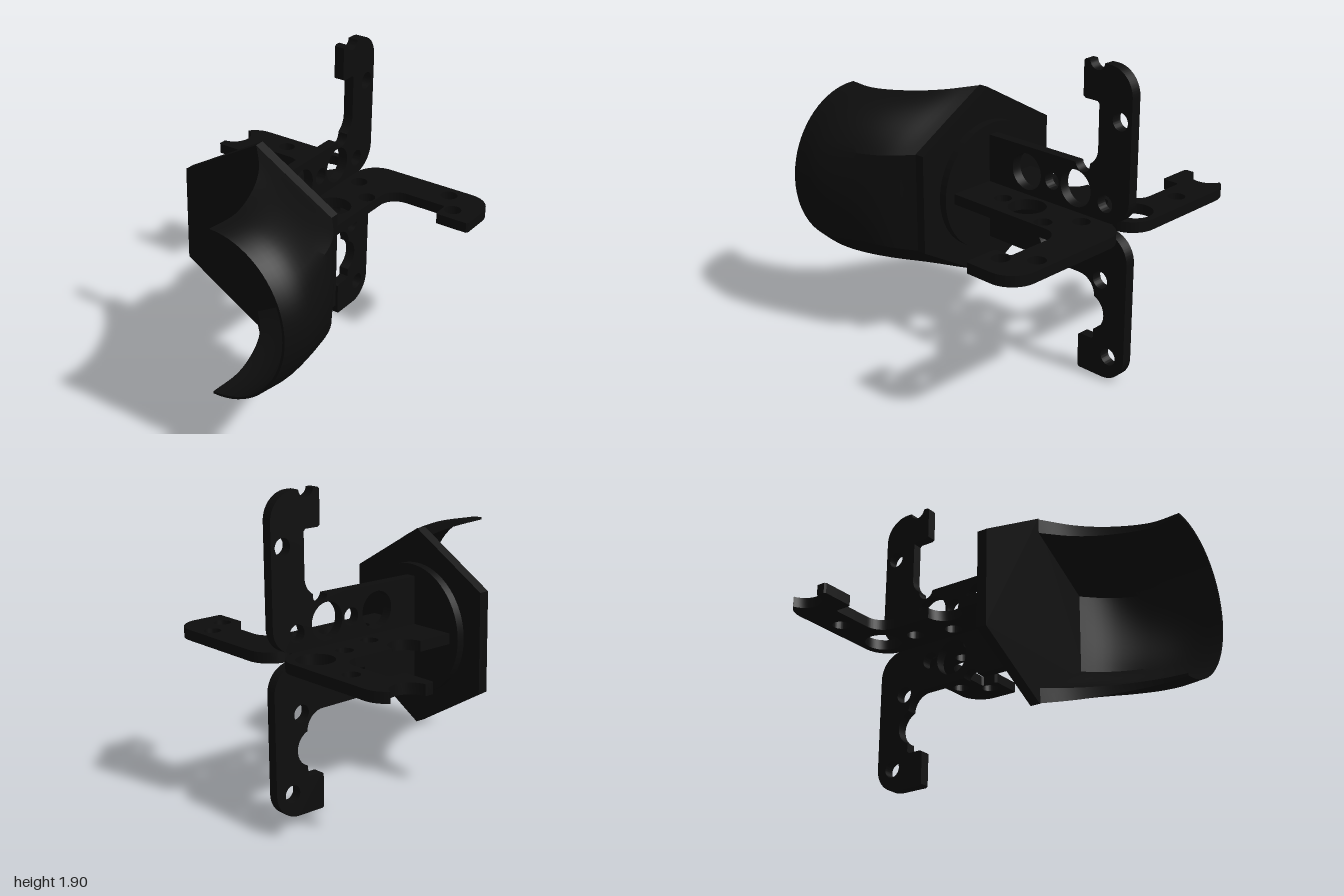
import * as THREE from 'three';
import { toCreasedNormals } from 'three/addons/utils/BufferGeometryUtils.js';

const AXIS_Y = 0.96;
const BIG = 0.113, SMALL = 0.053;
const material = new THREE.MeshStandardMaterial({ color: 0x0d0d0d });

function mesh(geometry, name) {
  const m = new THREE.Mesh(geometry, material);
  m.name = name;
  return m;
}

// Hooked fin outline: x = distance from the axis, y = distance towards the back
function finOutline() {
  const p = new THREE.Path();
  p.moveTo(0, -0.08).lineTo(0.33, -0.08).lineTo(0.335, 0.655);
  p.absarc(0.45, 0.655, 0.115, Math.PI, Math.PI / 2, true);
  p.lineTo(0.715, 0.77).lineTo(0.727, 0.758).lineTo(0.727, 0.67).lineTo(0.737, 0.655);
  p.lineTo(0.94, 0.655).lineTo(0.95, 0.665).lineTo(0.95, 0.84);
  p.absarc(0.79, 0.84, 0.16, 0, Math.PI / 2, false);
  p.lineTo(0.19, 1);
  p.absarc(0.19, 0.84, 0.16, Math.PI / 2, Math.PI, false);
  p.lineTo(0, 0.84).lineTo(0, -0.08);
  return p.curves.flatMap(c => c.getSpacedPoints(40).slice(0, -1));
}

// Replace the stretch of a counter-clockwise outline inside a circle by an inward arc
function bite(points, [x, y, r]) {
  const centre = new THREE.Vector2(x, y);
  const inside = p => p.distanceTo(centre) < r;
  const first = points.findIndex(inside);
  let last = first;
  while (inside(points[last + 1])) last++;
  const angle = p => Math.atan2(p.y - y, p.x - x);
  const a0 = angle(points[first]);
  let a1 = angle(points[last]);
  if (a1 > a0) a1 -= 2 * Math.PI;
  const arc = [];
  for (let i = 0; i <= 20; i++) {
    const a = a0 + (a1 - a0) * i / 20;
    arc.push(new THREE.Vector2(x + r * Math.cos(a), y + r * Math.sin(a)));
  }
  return [...points.slice(0, first), ...arc, ...points.slice(last + 1)];
}

function finGeometry(holes, notches) {
  const shape = new THREE.Shape(notches.reduce(bite, finOutline()));
  for (const [x, y, r] of holes) {
    shape.holes.push(new THREE.Path().absarc(x, y, r, 0, Math.PI * 2, true));
  }
  const g = new THREE.ExtrudeGeometry(shape, { depth: 0.065, bevelEnabled: false, curveSegments: 32 });
  g.translate(0, 0, -0.0325).rotateX(-Math.PI / 2);
  return toCreasedNormals(g, 0.5);
}

// Each fin: holes and edge notches as [distance from axis, distance back, radius]
const FINS = [
  { name: 'leftFin', turn: 0,
    holes: [[0.675, 0.91, SMALL], [0.79, 0.755, SMALL], [0.12, 0.735, SMALL],
      [0.275, 0.585, SMALL], [0.17, 0.365, BIG], [0.175, 0.175, SMALL]],
    notches: [] },
  { name: 'topFin', turn: 1,
    holes: [[0.175, 0.23, BIG], [0.17, 0.43, SMALL], [0.175, 0.61, BIG],
      [0.14, 0.83, SMALL], [0.645, 0.92, SMALL]],
    notches: [[0.34, 0.66, SMALL], [0.955, 0.75, SMALL]] },
  { name: 'rightFin', turn: 2,
    holes: [[0.555, 0.885, SMALL], [0.21, 0.845, BIG], [0.18, 0.61, SMALL], [0.115, 0.365, SMALL]],
    notches: [[0.335, 0.275, BIG], [0.955, 0.83, BIG]] },
  { name: 'bottomFin', turn: 3,
    holes: [[0.17, 0.44, BIG], [0.15, 0.61, SMALL], [0.335, 0.81, SMALL], [0.805, 0.885, SMALL]],
    notches: [[0.34, 0.29, SMALL], [0.555, 0.73, BIG]] },
];

// Curved scoop: half a hexagon lofted into a half ellipse, thinning to a sharp rim
function scoopGeometry() {
  const N = 36, RINGS = 20, L = 2 * (N + 1);
  const sweep = new THREE.CatmullRomCurve3([
    [0, 0.607, 0.185], [0.15, 0.575, 0.36], [0.25, 0.55, 0.55], [0.32, 0.53, 0.8], [0.305, 0.525, 1],
  ].map(v => new THREE.Vector3(...v))); // x shift, half height, z
  const positions = [], index = [];
  for (let i = 0; i <= RINGS; i++) {
    const t = i / RINGS;
    const s = sweep.getPoint(t);
    const blend = THREE.MathUtils.smoothstep(t, 0, 0.8);
    const width = 0.53 - 0.042 * t;
    const wall = 0.08 * (1 - t) + 0.015;
    for (let k = 0; k < L; k++) {
      const j = k <= N ? k : L - 1 - k;
      const inset = k <= N ? 0 : wall;
      const a = Math.PI / 2 - Math.PI * j / N;
      // polar radius of a hexagon with corners at the top and bottom
      const local = ((a + 2 * Math.PI + Math.PI / 6) % (Math.PI / 3)) - Math.PI / 6;
      const hex = Math.cos(Math.PI / 6) / Math.cos(local);
      const hx = hex * Math.cos(a) * (width - inset * 0.87) / Math.cos(Math.PI / 6);
      const hy = hex * Math.sin(a) * (s.y - inset);
      const ex = Math.cos(a) * (width - inset);
      const ey = Math.sin(a) * (s.y - inset);
      positions.push(s.x + hx + (ex - hx) * blend, AXIS_Y + hy + (ey - hy) * blend, s.z);
    }
  }
  for (let i = 0; i < RINGS; i++) {
    for (let k = 0; k < L; k++) {
      const a = i * L + k, b = i * L + (k + 1) % L;
      index.push(a, a + L, b, b, a + L, b + L);
    }
  }
  // rim
  const base = RINGS * L;
  for (let j = 0; j < N; j++) {
    const o = base + j, n = base + L - 1 - j;
    index.push(o, n, o + 1, o + 1, n, n - 1);
  }
  const g = new THREE.BufferGeometry();
  g.setAttribute('position', new THREE.Float32BufferAttribute(positions, 3));
  g.setIndex(index);
  return toCreasedNormals(g, 0.5);
}

export function createModel() {
  const model = new THREE.Group();
  model.name = 'finnedScoop';

  // Four perforated fins around the axis
  for (const { name, turn, holes, notches } of FINS) {
    const fin = mesh(finGeometry(holes, notches), name);
    fin.position.y = AXIS_Y;
    fin.rotation.z = turn * Math.PI / 2;
    model.add(fin);
  }

  // Round collar
  const collar = mesh(new THREE.CylinderGeometry(0.4, 0.4, 0.055, 64).rotateX(Math.PI / 2), 'collar');
  collar.position.set(0, AXIS_Y, 0.1025);
  model.add(collar);

  // Hexagonal plate with corners at the top and bottom
  const hexagon = new THREE.Shape();
  for (let i = 0; i < 6; i++) {
    const a = Math.PI / 2 + i * Math.PI / 3;
    hexagon[i ? 'lineTo' : 'moveTo'](0.61 * Math.cos(a), 0.61 * Math.sin(a));
  }
  const plate = mesh(new THREE.ExtrudeGeometry(hexagon, { depth: 0.065, bevelEnabled: false }), 'hexPlate');
  plate.position.set(0, AXIS_Y, 0.125);
  model.add(plate);

  model.add(mesh(scoopGeometry(), 'scoop'));
  return model;
}
